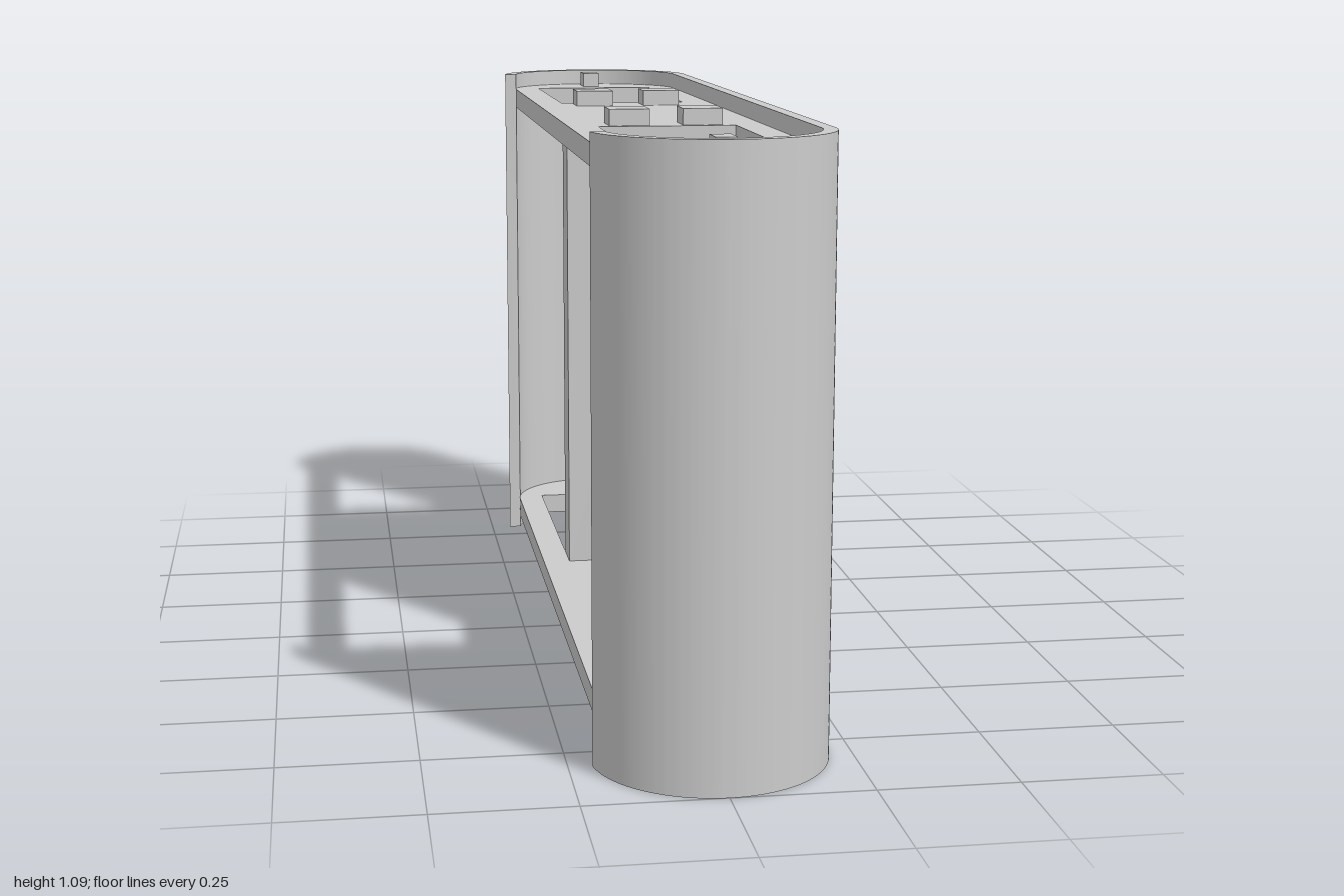
import * as THREE from 'three';
import { toCreasedNormals } from 'three/addons/utils/BufferGeometryUtils.js';

const H = 1.09;          // overall height
const R = 0.21;          // outer radius of the rounded ends
const RI = 0.185;        // inner radius of the shell
const C = 0.79;          // z of the end arc centres
const CUT = 0.82;        // z where the shell stops on the open side
const LIP = 0.033;       // recess of the plates inside the shell
const PLATE = 0.042;     // plate thickness

const material = new THREE.MeshStandardMaterial({ color: 0xcccccc });

// Extrude an (x, z) outline between two heights
function slab(name, shape, y0, y1) {
  const geo = new THREE.ExtrudeGeometry(shape, { depth: y1 - y0, bevelEnabled: false, curveSegments: 40 });
  geo.rotateX(Math.PI / 2);
  geo.translate(0, y1, 0);
  const mesh = new THREE.Mesh(toCreasedNormals(geo, 0.5), material);
  mesh.name = name;
  return mesh;
}

// Box given by its limits on each axis
function block(name, x0, x1, y0, y1, z0, z1) {
  const mesh = new THREE.Mesh(new THREE.BoxGeometry(x1 - x0, y1 - y0, z1 - z0), material);
  mesh.position.set((x0 + x1) / 2, (y0 + y1) / 2, (z0 + z1) / 2);
  mesh.name = name;
  return mesh;
}

// Wraparound wall: one long side, both round ends, open on -x
function shellShape() {
  const a = Math.PI - Math.asin((CUT - C) / R);
  const b = Math.PI - Math.asin((CUT - C) / RI);
  const s = new THREE.Shape();
  s.absarc(0, C, R, a, 0, true);
  s.absarc(0, -C, R, 0, -a, true);
  s.absarc(0, -C, RI, -b, 0, false);
  s.absarc(0, C, RI, 0, b, false);
  s.closePath();
  return s;
}

// Stadium plate with two rectangular windows
function plateShape() {
  const s = new THREE.Shape();
  s.absarc(0, C, RI, 0, Math.PI, false);
  s.absarc(0, -C, RI, Math.PI, Math.PI * 2, false);
  s.closePath();
  for (const [z0, z1] of [[0.315, 0.82], [-0.82, -0.315]]) {
    const hole = new THREE.Path();
    hole.moveTo(-0.13, z0);
    hole.lineTo(-0.13, z1);
    hole.lineTo(0.13, z1);
    hole.lineTo(0.13, z0);
    hole.closePath();
    s.holes.push(hole);
  }
  return s;
}

export function createModel() {
  const model = new THREE.Group();
  model.name = 'cabinet';

  model.add(slab('outerShell', shellShape(), 0, H));
  model.add(slab('bottomPlate', plateShape(), LIP, LIP + PLATE));
  model.add(slab('topPlate', plateShape(), H - LIP - PLATE, H - LIP));

  const y0 = LIP + PLATE, y1 = H - y0;
  for (const side of [1, -1]) {
    const half = new THREE.Group();
    half.name = side > 0 ? 'frontFrame' : 'backFrame';
    // Block mirrored in z for the back half
    const put = (name, xa, xb, ya, yb, za, zb) =>
      half.add(block(name, xa, xb, ya, yb, Math.min(za * side, zb * side), Math.max(za * side, zb * side)));

    // Upright board, end post and the panel joining them
    put('crossBoard', -0.13, 0.13, y0, y1, 0.222, 0.302);
    put('endPost', -0.018, 0.018, y0, y1, 0.86, 0.94);
    put('middlePanel', -0.018, 0.018, 0.395, 0.695, 0.302, 0.86);

    // Tenons poking through the top and bottom plates
    for (const [ya, yb] of [[H - LIP, H - 0.002], [0.002, LIP]]) {
      for (const x of [-0.07, 0.07]) put('boardTenon', x - 0.038, x + 0.038, ya, yb, 0.225, 0.299);
      put('postTenon', -0.018, 0.018, ya, yb, 0.87, 0.93);
    }
    model.add(half);
  }
  return model;
}
